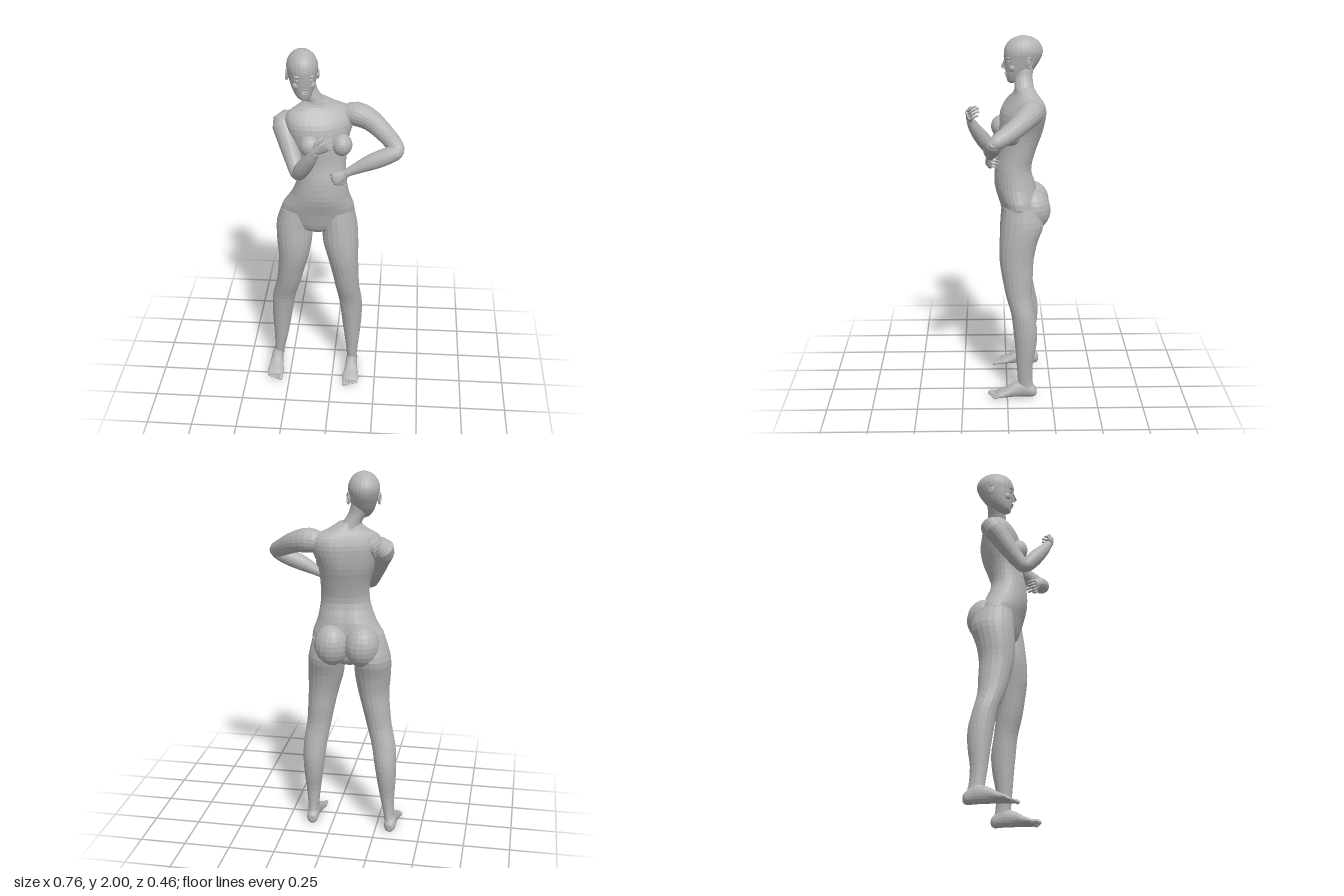
import * as THREE from 'three';

const grey = new THREE.MeshStandardMaterial({ color: 0xb4b4b4, flatShading: true });
grey.name = 'grey clay';
const V = (x, y, z) => new THREE.Vector3(x, y, z);
const UP = V(0, 1, 0), BACK = V(0, 0, -1), FRONT = V(0, 0, 1);

function add(parent, name, geo) {
  const m = new THREE.Mesh(geo, grey);
  m.name = name;
  parent.add(m);
  return m;
}

// Skin through elliptical stations [x, y, z, a, b, yaw]; a smooth curve fills the gaps.
// dir fixes the ring plane, otherwise rings follow the path. groove dents the back.
function loft(stations, { dir, ref = BACK, n = 20, steps = 3, groove = 0 } = {}) {
  const path = new THREE.CatmullRomCurve3(stations.map(s => V(s[0], s[1], s[2])), false, 'catmullrom');
  const size = new THREE.CatmullRomCurve3(stations.map(s => V(s[3], s[4] ?? s[3], s[5] ?? 0)), false, 'catmullrom');
  const rows = (stations.length - 1) * steps, pos = [], idx = [];
  for (let i = 0; i <= rows; i++) {
    const c = path.getPoint(i / rows), s = size.getPoint(i / rows);
    const t = dir ? dir.clone() : path.getTangent(i / rows);
    const u0 = ref.clone().cross(t).normalize(), v0 = t.clone().cross(u0);
    const u = u0.clone().applyAxisAngle(t, s.z), v = v0.clone().applyAxisAngle(t, s.z);
    for (let j = 0; j < n; j++) {
      const w = j / n * Math.PI * 2;
      const k = 1 - groove * Math.exp(-(((w - Math.PI / 2) / 0.3) ** 2));
      const p = c.clone().addScaledVector(u, Math.max(s.x, 0.001) * Math.cos(w))
        .addScaledVector(v, Math.max(s.y, 0.001) * Math.sin(w) * k);
      pos.push(p.x, p.y, p.z);
    }
  }
  for (let i = 0; i < rows; i++) for (let j = 0; j < n; j++) {
    const a = i * n + j, b = i * n + (j + 1) % n;
    idx.push(a, b, b + n, a, b + n, a + n);
  }
  // closed ends
  const first = path.getPoint(0), last = path.getPoint(1), k = pos.length / 3;
  pos.push(...first.toArray(), ...last.toArray());
  for (let j = 0; j < n; j++) {
    const q = (j + 1) % n;
    idx.push(k, q, j, k + 1, rows * n + j, rows * n + q);
  }
  const g = new THREE.BufferGeometry();
  g.setAttribute('position', new THREE.Float32BufferAttribute(pos, 3));
  g.setIndex(idx);
  g.computeVertexNormals();
  return g;
}

function blob(parent, name, [x, y, z], [rx, ry, rz], n = 18) {
  const m = add(parent, name, new THREE.SphereGeometry(1, n, Math.ceil(n * 0.7)));
  m.position.set(x, y, z);
  m.scale.set(rx, ry, rz);
  return m;
}

function makeHead() {
  const head = new THREE.Group();
  head.name = 'head';
  const skull = [[-0.127, 0.062, 0.012, 0.012], [-0.112, 0.046, 0.036, 0.042], [-0.08, 0.026, 0.055, 0.068],
    [-0.04, 0.012, 0.068, 0.086], [0, 0, 0.077, 0.1], [0.04, -0.005, 0.082, 0.106],
    [0.08, -0.005, 0.07, 0.091], [0.11, -0.004, 0.042, 0.055], [0.125, -0.003, 0.002, 0.002]];
  add(head, 'skull', loft(skull.map(([y, z, a, b]) => [0, y, z, a, b]), { dir: UP, n: 24 }));
  add(head, 'nose', loft([[0, 0.01, 0.09, 0.007, 0.008], [0, -0.02, 0.1, 0.009, 0.012],
    [0, -0.042, 0.103, 0.015, 0.016], [0, -0.053, 0.095, 0.01, 0.008]], { dir: UP, n: 10 }));
  blob(head, 'upperLip', [0, -0.073, 0.092], [0.02, 0.006, 0.01], 10);
  blob(head, 'lowerLip', [0, -0.084, 0.089], [0.017, 0.006, 0.01], 10);
  blob(head, 'chin', [0, -0.11, 0.073], [0.022, 0.016, 0.016], 12);
  for (const s of [-1, 1]) {
    blob(head, 'eye', [s * 0.031, -0.009, 0.084], [0.015, 0.007, 0.01], 12);
    blob(head, 'brow', [s * 0.031, 0.012, 0.085], [0.022, 0.007, 0.012], 12);
    blob(head, 'cheek', [s * 0.038, -0.042, 0.065], [0.022, 0.022, 0.022], 12);
    const ear = add(head, 'earRim', new THREE.TorusGeometry(0.02, 0.005, 6, 14));
    ear.position.set(s * 0.08, -0.015, -0.018);
    ear.rotation.y = Math.PI / 2 + s * 0.35;
    ear.scale.set(0.75, 1.3, 1);
    blob(head, 'earBowl', [s * 0.075, -0.015, -0.015], [0.006, 0.022, 0.013], 10);
  }
  head.position.set(-0.16, 1.875, -0.087);
  head.rotation.set(0.03, 0.2, 0);
  return head;
}

// Hand: fingers run along local x, the palm faces local y, thumb on side s of local z.
function makeHand(name, wrist, along, palm, s, curl) {
  const hand = new THREE.Group();
  hand.name = name;
  const x = along.clone().normalize();
  const y = palm.clone().addScaledVector(x, -palm.dot(x)).normalize();
  hand.setRotationFromMatrix(new THREE.Matrix4().makeBasis(x, y, x.clone().cross(y)));
  hand.position.copy(wrist);
  add(hand, 'palm', loft([[-0.015, 0, 0, 0.021, 0.018], [0.015, 0, 0, 0.027, 0.016],
    [0.045, 0, 0, 0.033, 0.013], [0.062, 0, 0, 0.028, 0.009]], { dir: V(1, 0, 0), ref: UP, n: 14 }));
  for (let f = 0; f < 4; f++) {
    const len = [0.022, 0.026, 0.024, 0.019][f], pts = [];
    let px = 0.052, py = 0, a = 0.1;
    for (let j = 0; j < 4; j++) {
      pts.push([px, py, s * (0.025 - f * 0.0165), 0.0085 - j * 0.001]);
      a += curl;
      px += Math.cos(a) * len;
      py += Math.sin(a) * len;
    }
    add(hand, 'finger', loft(pts, { ref: FRONT, n: 8, steps: 2 }));
  }
  add(hand, 'thumb', loft([[0.005, 0.005, s * 0.016, 0.012], [0.028, 0.014, s * 0.036, 0.011],
    [0.05, 0.024, s * 0.038, 0.008], [0.064, 0.032, s * 0.03, 0.006]], { ref: UP, n: 8, steps: 2 }));
  return hand;
}

// Leg: shared profile [y, a, z, b]; xs gives its own centre line, shift moves it in z going down.
const LEG = [[1.1, 0.088, -0.08, 0.1], [1.0, 0.099, -0.083, 0.116], [0.9, 0.098, -0.062, 0.104],
  [0.8, 0.085, -0.052, 0.093], [0.7, 0.075, -0.057, 0.083], [0.6, 0.068, -0.065, 0.071],
  [0.5, 0.066, -0.086, 0.064], [0.4, 0.061, -0.1, 0.066], [0.3, 0.052, -0.102, 0.058],
  [0.2, 0.04, -0.097, 0.045], [0.1, 0.03, -0.101, 0.041], [0.045, 0.031, -0.112, 0.046]];
function makeLeg(name, s, xs, shift) {
  const leg = new THREE.Group();
  leg.name = name;
  const rings = LEG.map(([y, a, z, b], i) => [xs[i], y, z + shift * (1.1 - y), a, b]).reverse();
  add(leg, 'thighAndCalf', loft(rings, { dir: UP }));
  const foot = new THREE.Group();
  foot.name = 'foot';
  foot.position.set(xs[11], 0, shift);
  leg.add(foot);
  add(foot, 'footBody', loft([[0, 0.035, -0.165, 0.012, 0.018], [0, 0.038, -0.148, 0.03, 0.034],
    [0, 0.052, -0.1, 0.033, 0.048], [0, 0.045, -0.04, 0.036, 0.042], [0, 0.03, 0.01, 0.044, 0.027],
    [0, 0.021, 0.05, 0.048, 0.018], [0, 0.016, 0.072, 0.038, 0.01]], { dir: FRONT, ref: UP }));
  for (let t = 0; t < 5; t++) {
    const x = s * (-0.033 + t * 0.0175), z = 0.1 - t * 0.008 - (t ? 0 : 0.002), r = t ? 0.0085 : 0.013;
    add(foot, 'toe', loft([[x * 0.9, 0.018, 0.045, r], [x, 0.017, z - 0.015, r * 0.85],
      [x, 0.012, z, r], [x, 0.01, z + 0.011, r * 0.4]], { dir: FRONT, ref: UP, n: 8, steps: 2 }));
  }
  return leg;
}

export function createModel() {
  const figure = new THREE.Group();
  figure.name = 'figure';

  // trunk, turned a little toward the left at the chest
  add(figure, 'torso', loft([[-0.085, 0.96, -0.08, 0.04, 0.05, 0], [-0.085, 1.0, -0.078, 0.15, 0.09, 0],
    [-0.083, 1.1, -0.07, 0.2, 0.108, 0], [-0.068, 1.2, -0.05, 0.158, 0.116, 0], [-0.058, 1.3, -0.036, 0.132, 0.1, 0.1],
    [-0.06, 1.4, -0.055, 0.132, 0.101, 0.2], [-0.07, 1.5, -0.073, 0.152, 0.115, 0.3],
    [-0.07, 1.6, -0.088, 0.183, 0.112, 0.33], [-0.072, 1.66, -0.1, 0.175, 0.085, 0.33],
    [-0.08, 1.7, -0.1, 0.105, 0.062, 0.3], [-0.088, 1.735, -0.095, 0.055, 0.05, 0.2]],
  { dir: UP, n: 32, groove: 0.1 }));
  for (const s of [-1, 1]) blob(figure, 'buttock', [-0.084 + s * 0.082, 1.075, -0.138], [0.096, 0.115, 0.1]);
  blob(figure, 'leftChest', [0.05, 1.505, -0.018], [0.055, 0.06, 0.06]);
  blob(figure, 'rightChest', [-0.115, 1.515, 0.03], [0.055, 0.06, 0.055]);
  add(figure, 'neck', loft([[-0.085, 1.68, -0.1, 0.062, 0.058], [-0.1, 1.73, -0.094, 0.05, 0.052],
    [-0.128, 1.78, -0.09, 0.047, 0.05], [-0.145, 1.83, -0.09, 0.05, 0.055]], { dir: UP }));
  figure.add(makeHead());

  // arms
  add(figure, 'leftUpperArm', loft([[0.05, 1.625, -0.13, 0.05], [0.12, 1.635, -0.125, 0.065], [0.2, 1.615, -0.088, 0.057],
    [0.28, 1.57, -0.018, 0.048], [0.335, 1.535, 0.052, 0.041], [0.352, 1.52, 0.085, 0.026]], { ref: UP }));
  add(figure, 'leftForearm', loft([[0.372, 1.53, 0.076, 0.015], [0.345, 1.52, 0.076, 0.037], [0.28, 1.49, 0.08, 0.045],
    [0.2, 1.455, 0.085, 0.041], [0.12, 1.415, 0.088, 0.027], [0.07, 1.388, 0.092, 0.02]], { ref: UP }));
  add(figure, 'rightUpperArm', loft([[-0.2, 1.61, -0.09, 0.05], [-0.262, 1.595, -0.085, 0.06], [-0.24, 1.53, -0.035, 0.056],
    [-0.205, 1.44, 0.025, 0.046], [-0.178, 1.375, 0.075, 0.037], [-0.17, 1.352, 0.09, 0.02]], { ref: V(1, 0, 0) }));
  add(figure, 'rightForearm', loft([[-0.182, 1.35, 0.078, 0.016], [-0.172, 1.375, 0.09, 0.035], [-0.14, 1.435, 0.128, 0.042],
    [-0.1, 1.505, 0.172, 0.033], [-0.07, 1.56, 0.198, 0.021]], { ref: V(1, 0, 0) }));
  figure.add(makeHand('leftHand', V(0.07, 1.386, 0.094), V(-0.85, -0.4, 0.15), V(-0.1, -0.35, -0.9), 1, 0.75));
  figure.add(makeHand('rightHand', V(-0.068, 1.566, 0.2), V(0.8, 0.45, 0.05), V(0.1, 0.45, -0.85), 1, 0.5));

  // legs
  figure.add(makeLeg('leftLeg', 1,
    [0.025, 0.035, 0.043, 0.057, 0.07, 0.082, 0.098, 0.105, 0.108, 0.11, 0.11, 0.11], 0));
  figure.add(makeLeg('rightLeg', -1,
    [-0.195, -0.215, -0.215, -0.22, -0.237, -0.257, -0.284, -0.297, -0.305, -0.311, -0.323, -0.334], -0.028));
  return figure;
}
